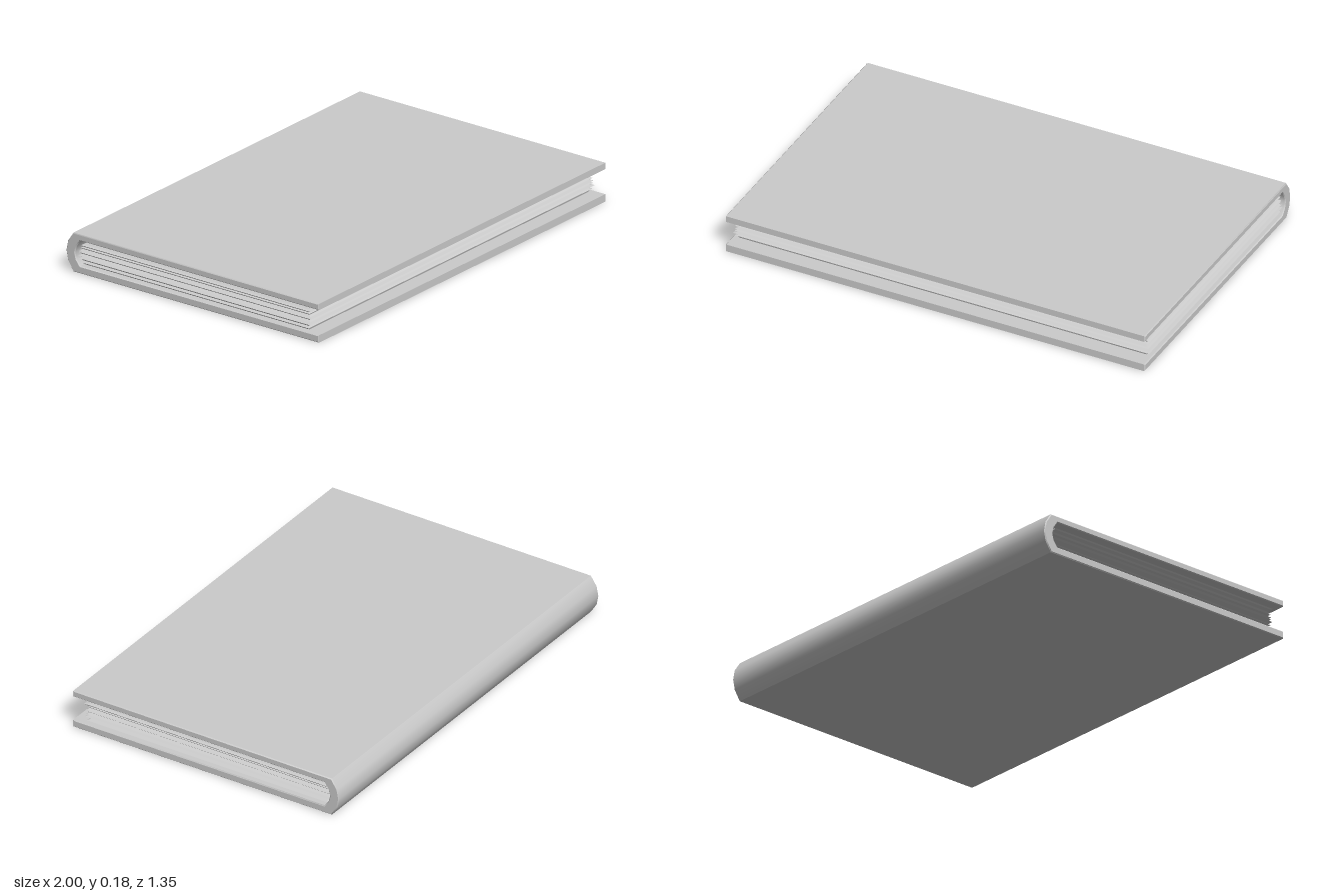
import * as THREE from 'three';
import { toCreasedNormals } from 'three/addons/utils/BufferGeometryUtils.js';

const material = new THREE.MeshStandardMaterial({ color: 0xcccccc });

// C-shaped section of boards and spine as [z, y], swept along x
function createCover() {
  const section = [
    [0.675, 0], [0.675, 0.034], [-0.6, 0.034], [-0.62, 0.06], [-0.628, 0.09],
    [-0.62, 0.12], [-0.6, 0.149], [0.675, 0.149], [0.675, 0.178], [-0.637, 0.178],
    [-0.666, 0.135], [-0.675, 0.09], [-0.666, 0.045], [-0.637, 0],
  ];
  const shape = new THREE.Shape(section.map(([z, y]) => new THREE.Vector2(-z, y)));
  const bevel = 0.004;
  const geometry = new THREE.ExtrudeGeometry(shape, {
    depth: 2 - 2 * bevel, bevelThickness: bevel, bevelSize: bevel,
    bevelOffset: -bevel, bevelSegments: 1,
  });
  geometry.translate(0, 0, -1 + bevel).rotateY(Math.PI / 2);
  const cover = new THREE.Mesh(toCreasedNormals(geometry, 0.75), material);
  cover.name = 'cover';
  return cover;
}

// Stack of uneven pages: each level gets its own front, back and side reach
function createPages() {
  // [y, front z, back z, half width]
  const levels = [
    [0.033, 0.602, -0.592, 0.968], [0.043, 0.605, -0.602, 0.98],
    [0.047, 0.612, -0.608, 0.988], [0.051, 0.602, -0.6, 0.972],
    [0.058, 0.606, -0.612, 0.978], [0.064, 0.622, -0.616, 0.99],
    [0.068, 0.605, -0.606, 0.97], [0.075, 0.618, -0.619, 0.986],
    [0.08, 0.606, -0.608, 0.972], [0.088, 0.622, -0.621, 0.982],
    [0.092, 0.604, -0.606, 0.968], [0.098, 0.616, -0.616, 0.984],
    [0.104, 0.607, -0.604, 0.974], [0.11, 0.61, -0.613, 0.98],
    [0.114, 0.602, -0.602, 0.972], [0.121, 0.612, -0.606, 0.986],
    [0.126, 0.626, -0.603, 0.99], [0.129, 0.606, -0.597, 0.98],
  ];
  const steps = levels.length - 1;
  const box = new THREE.BoxGeometry(2, 1, 2, 1, steps, 1);
  const position = box.attributes.position;
  for (let i = 0; i < position.count; i++) {
    const [y, front, back, halfWidth] = levels[Math.round((position.getY(i) + 0.5) * steps)];
    position.setXYZ(i, position.getX(i) * halfWidth, y, position.getZ(i) > 0 ? front : back);
  }
  const geometry = box.toNonIndexed();
  geometry.computeVertexNormals();
  const pages = new THREE.Mesh(geometry, material);
  pages.name = 'pages';
  return pages;
}

export function createModel() {
  const book = new THREE.Group();
  book.name = 'book';
  book.add(createCover(), createPages());
  return book;
}
